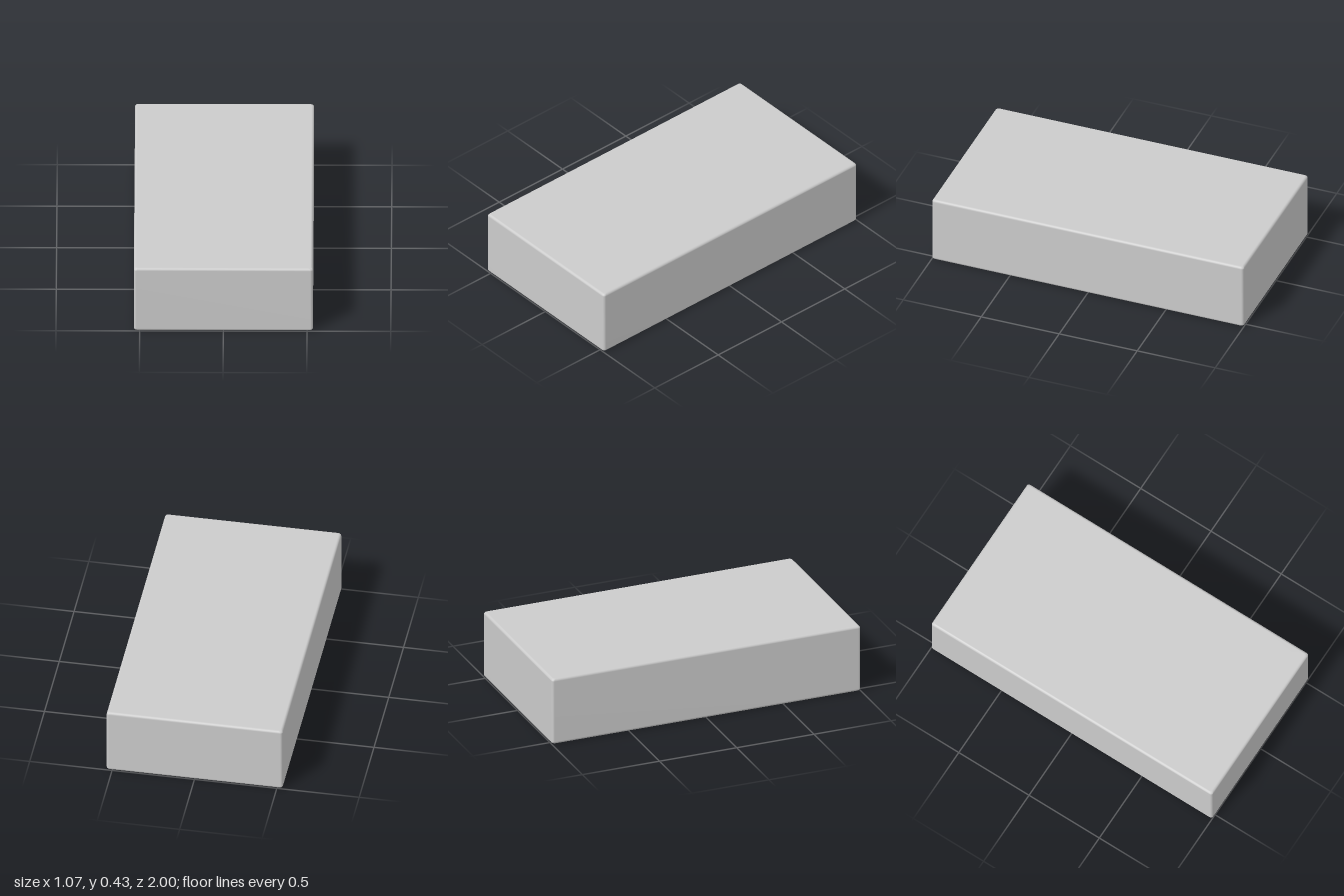
import * as THREE from 'three';
import { RoundedBoxGeometry } from 'three/addons/geometries/RoundedBoxGeometry.js';

const H = 0.427, EDGE = 0.016, RIM = 0.01, CEILING = 0.38;
// Plan of the outside and of the cavity (half sizes, z centre, corner radius)
const OUTER = { hx: 0.535, hz: 1, z: 0, r: 0.016 };
const INNER = { hx: 0.489, hz: 0.9325, z: 0.0175, r: 0.045 };

// Closed rounded-rectangle loop, pulled in from a plan by inset
function loop({ hx, hz, z, r }, inset, y, steps = 6) {
  const pts = [];
  const signs = [[1, 1], [-1, 1], [-1, -1], [1, -1]];
  signs.forEach(([sx, sz], k) => {
    for (let i = 0; i <= steps; i++) {
      const a = (k + i / steps) * Math.PI / 2;
      pts.push([sx * (hx - inset - r) + r * Math.cos(a), y, z + sz * (hz - inset - r) + r * Math.sin(a)]);
    }
  });
  return pts;
}

// Skin a list of equal loops
function loft(loops) {
  const n = loops[0].length, index = [];
  for (let i = 0; i < loops.length - 1; i++) {
    for (let j = 0; j < n; j++) {
      const a = i * n + j, b = i * n + (j + 1) % n;
      index.push(a, b, a + n, b, b + n, a + n);
    }
  }
  const geo = new THREE.BufferGeometry();
  geo.setAttribute('position', new THREE.Float32BufferAttribute(loops.flat(2), 3));
  geo.setIndex(index);
  geo.computeVertexNormals();
  return geo;
}

export function createModel() {
  const group = new THREE.Group();
  const mat = new THREE.MeshStandardMaterial({ color: 0xcccccc });
  const add = (name, geo) => {
    const mesh = new THREE.Mesh(geo, mat);
    mesh.name = name;
    group.add(mesh);
    return mesh;
  };

  // Section from the top centre, down the outside, round the rim and up the inside
  const loops = [];
  const centre = y => loops.push(loop(OUTER, 0, y).map(() => [0, y, 0]));
  const fillet = (plan, inset, y, from, to, r) => {
    for (let i = 0; i <= 4; i++) {
      const a = from + (to - from) * i / 4;
      loops.push(loop(plan, inset + r * Math.cos(a), y + r * Math.sin(a)));
    }
  };
  const q = Math.PI / 2;
  centre(H);
  fillet(OUTER, EDGE, H - EDGE, q, 2 * q, EDGE);      // top edge
  fillet(OUTER, EDGE, EDGE, 2 * q, 3 * q, EDGE);      // outer rim
  fillet(INNER, -RIM, RIM, 3 * q, 4 * q, RIM);        // inner rim
  fillet(INNER, RIM, CEILING - RIM, 2 * q, q, RIM);   // ceiling edge
  centre(CEILING);
  add('shell', loft(loops));

  // Four cross walls making five equal compartments
  const bottom = 0.006, top = CEILING + 0.02, thick = 0.034;
  const pitch = (2 * INNER.hz + thick) / 5;
  for (let i = 0; i < 4; i++) {
    const wall = add('divider', new RoundedBoxGeometry(2 * INNER.hx + 0.04, top - bottom, thick, 3, 0.01));
    wall.position.set(0, (top + bottom) / 2, INNER.z + (i - 1.5) * pitch);
  }
  return group;
}
